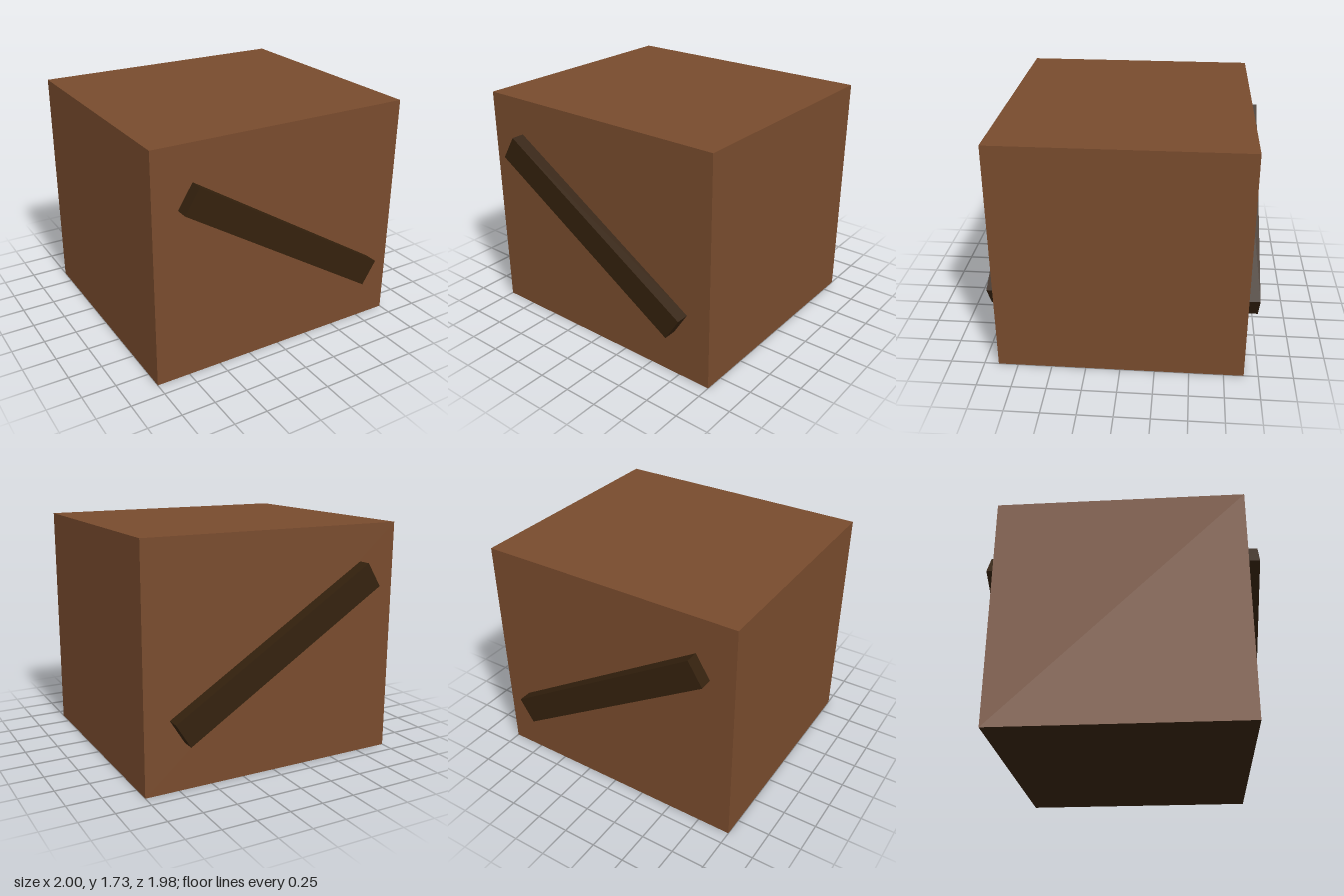
import * as THREE from 'three';

export function createModel() {
  const group = new THREE.Group();
  const wood = new THREE.MeshStandardMaterial({ color: 0x784b2d });
  wood.name = 'brown wood';
  const darkWood = new THREE.MeshStandardMaterial({ color: 0x34210d });
  darkWood.name = 'dark wood';

  const W = 2, H = 1.73, D = 1.79;

  // crate body, with a dark underside (box face order: +x -x +y -y +z -z)
  const body = new THREE.Mesh(
    new THREE.BoxGeometry(W, H, D),
    [wood, wood, wood, darkWood, wood, wood]
  );
  body.name = 'crateBody';
  body.position.y = H / 2;
  group.add(body);

  // diagonal braces on the front and back, both falling towards +x
  const thickness = 0.1;
  for (const side of [1, -1]) {
    const brace = new THREE.Mesh(new THREE.BoxGeometry(1.79, 0.205, thickness), darkWood);
    brace.name = side > 0 ? 'frontBrace' : 'backBrace';
    brace.position.set(0, 0.9, side * (D / 2 + thickness / 2 - 0.003));
    brace.rotation.z = -0.558;
    group.add(brace);
  }
  return group;
}
